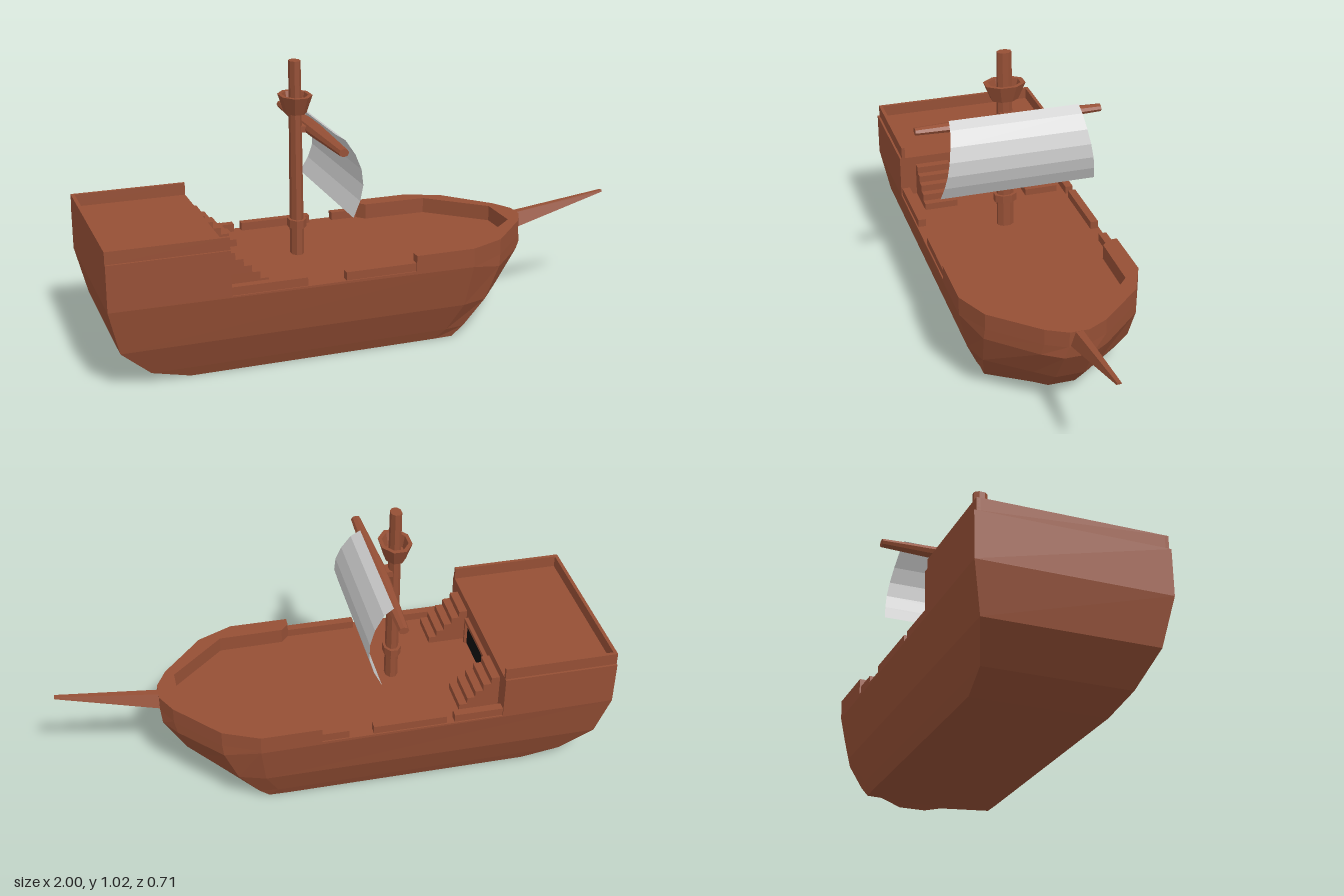
import * as THREE from 'three';

const wood = new THREE.MeshStandardMaterial({ color: 0x954f35, flatShading: true, side: THREE.DoubleSide });
const dark = new THREE.MeshStandardMaterial({ color: 0x111111 });
const cloth = new THREE.MeshStandardMaterial({ color: 0xcccccc, flatShading: true, side: THREE.DoubleSide });

function add(parent, name, geometry, material = wood) {
  const mesh = new THREE.Mesh(geometry, material);
  mesh.name = name;
  parent.add(mesh);
  return mesh;
}

// Box given by its minimum and maximum on each axis
function box(parent, name, [x0, x1], [y0, y1], [z0, z1], material) {
  const mesh = add(parent, name, new THREE.BoxGeometry(x1 - x0, y1 - y0, Math.abs(z1 - z0)), material);
  mesh.position.set((x0 + x1) / 2, (y0 + y1) / 2, (z0 + z1) / 2);
  return mesh;
}

// Closed skin over rings with equal point counts, capped at both ends
function loft(rings) {
  const n = rings[0].length, index = [];
  for (let r = 0; r < rings.length - 1; r++) {
    for (let i = 0; i < n; i++) {
      const j = (i + 1) % n, a = r * n, b = a + n;
      index.push(a + i, a + j, b + j, a + i, b + j, b + i);
    }
  }
  const top = (rings.length - 1) * n;
  for (let i = 1; i < n - 1; i++) index.push(0, i + 1, i, top, top + i, top + i + 1);
  const g = new THREE.BufferGeometry();
  g.setAttribute('position', new THREE.Float32BufferAttribute(rings.flat(2), 3));
  g.setIndex(index);
  g.computeVertexNormals();
  return g;
}

// Half outline (stern to bow) mirrored to a full ring
const mirrorRing = half => [...half, ...half.map(([x, y, z]) => [x, y, -z]).reverse()];

function createHull(ship) {
  const halves = [
    [[-0.71, 0, 0.237], [0.2, 0, 0.237], [0.27, 0, 0.235], [0.31, 0.01, 0.1], [0.32, 0.01, 0.05]],
    [[-0.85, 0.04, 0.256], [0.24, 0.04, 0.256], [0.31, 0.04, 0.246], [0.42, 0.04, 0.1], [0.45, 0.035, 0.05]],
    [[-0.96, 0.145, 0.3], [0.29, 0.145, 0.3], [0.385, 0.145, 0.27], [0.5, 0.14, 0.12], [0.545, 0.135, 0.055]],
    [[-1, 0.31, 0.333], [0.31, 0.3, 0.333], [0.435, 0.268, 0.279], [0.58, 0.266, 0.12], [0.625, 0.265, 0.05]],
    [[-1, 0.312, 0.333], [0.31, 0.312, 0.333], [0.44, 0.312, 0.275], [0.59, 0.312, 0.11], [0.63, 0.312, 0.035]],
  ];
  add(ship, 'hull', loft(halves.map(mirrorRing)));

  // Raised wall wrapping the bow
  const outer = [[0.09, 0.333], [0.31, 0.333], [0.44, 0.275], [0.59, 0.11], [0.63, 0.035]];
  const inner = [[0.56, 0.085], [0.36, 0.265], [0.12, 0.268], [0.09, 0.3]];
  const flip = pts => pts.map(([x, z]) => [x, -z]).reverse();
  const outline = [...outer, ...flip(outer), ...flip(inner), ...inner];
  const shape = new THREE.Shape(outline.map(([x, z]) => new THREE.Vector2(x, z)));
  const wall = new THREE.ExtrudeGeometry(shape, { depth: 0.06, bevelEnabled: false });
  add(ship, 'bowWall', wall.rotateX(-Math.PI / 2)).position.y = 0.31;

  // Low side rails with gaps
  for (const span of [[-0.58, -0.31], [-0.17, 0.09]]) box(ship, 'leftRail', span, [0.3, 0.342], [0.298, 0.328]);
  for (const span of [[-0.58, -0.4], [-0.37, -0.1], [-0.01, 0.1]]) box(ship, 'rightRail', span, [0.3, 0.342], [-0.328, -0.298]);

  // Tapered spar at the bow
  const spar = (x, y0, y1, zBottom, zTop) => [[x, y0, -zBottom], [x, y1, -zTop], [x, y1, zTop], [x, y0, zBottom]];
  add(ship, 'bowsprit', loft([spar(0.6, 0.308, 0.365, 0.032, 0.014), spar(1, 0.408, 0.415, 0.009, 0.007)]));
}

function createCabin(ship) {
  const cabin = new THREE.Group();
  cabin.name = 'cabin';
  ship.add(cabin);
  box(cabin, 'cabinBody', [-1, -0.58], [0.31, 0.475], [-0.333, 0.333]);
  box(cabin, 'sternRail', [-1, -0.987], [0.475, 0.52], [-0.325, 0.325]);

  // Doorway with frame
  box(cabin, 'doorway', [-0.585, -0.576], [0.312, 0.411], [-0.11, 0.11], dark);
  box(cabin, 'doorLintel', [-0.585, -0.565], [0.411, 0.425], [-0.12, 0.12]);

  for (const s of [-1, 1]) {
    box(cabin, 'cabinSideRail', [-1, -0.58], [0.475, 0.52], [s * 0.325, s * 0.312]);
    box(cabin, 'doorPost', [-0.585, -0.565], [0.31, 0.411], [s * 0.11, s * 0.12]);
    // Stairs up to the cabin roof
    for (let i = 0; i < 5; i++) {
      box(cabin, 'stairStep', [-0.58, -0.433 - i * 0.029], [0.312 + i * 0.026, 0.338 + i * 0.026], [s * 0.14, s * 0.27]);
    }
  }
}

function createRig(ship) {
  // Mast parts share an oval plan, wider across the ship
  const mast = new THREE.Group();
  mast.name = 'mast';
  mast.position.x = -0.245;
  mast.scale.z = 1.35;
  ship.add(mast);
  const drum = (name, rTop, rBottom, y0, y1) => {
    add(mast, name, new THREE.CylinderGeometry(rTop, rBottom, y1 - y0, 8).rotateY(Math.PI / 8)).position.y = (y0 + y1) / 2;
  };
  drum('mastPole', 0.021, 0.025, 0.31, 1.025);
  drum('mastCollar', 0.034, 0.034, 0.415, 0.445);

  // Lookout basket with an open top
  const profile = [[0, 0.838], [0.039, 0.838], [0.06, 0.903], [0.046, 0.903], [0.036, 0.86], [0, 0.86]];
  add(mast, 'lookoutBasket', new THREE.LatheGeometry(profile.map(p => new THREE.Vector2(...p)), 8).rotateY(Math.PI / 8));

  // Yard, thicker at the middle
  const half = [[0, 0.355], [0.014, 0.355], [0.018, 0.22], [0.023, 0.05]];
  const yardProfile = [...half.map(([r, z]) => [r, -z]), ...half.reverse()];
  const yard = add(ship, 'yard', new THREE.LatheGeometry(yardProfile.map(p => new THREE.Vector2(...p)), 8).rotateX(Math.PI / 2));
  yard.scale.x = 1.3;
  yard.position.set(-0.188, 0.779, 0);
  box(ship, 'yardBracket', [-0.235, -0.19], [0.768, 0.79], [-0.025, 0.025]);

  // Billowing sail, flaring toward its foot
  const curve = [[-0.175, 0.81], [-0.14, 0.787], [-0.107, 0.735], [-0.088, 0.682], [-0.085, 0.628], [-0.1, 0.575], [-0.128, 0.52]];
  const sail = new THREE.PlaneGeometry(1, 1, 1, curve.length - 1);
  const pos = sail.attributes.position;
  for (let i = 0; i < pos.count; i++) {
    const [x, y] = curve[Math.floor(i / 2)];
    const halfWidth = 0.248 + (0.81 - y) * 0.175;
    pos.setXYZ(i, x, y, -0.0175 + (i % 2 ? -1 : 1) * halfWidth);
  }
  sail.computeVertexNormals();
  add(ship, 'sail', sail, cloth);
}

export function createModel() {
  const ship = new THREE.Group();
  ship.name = 'sailingShip';
  createHull(ship);
  createCabin(ship);
  createRig(ship);
  return ship;
}
